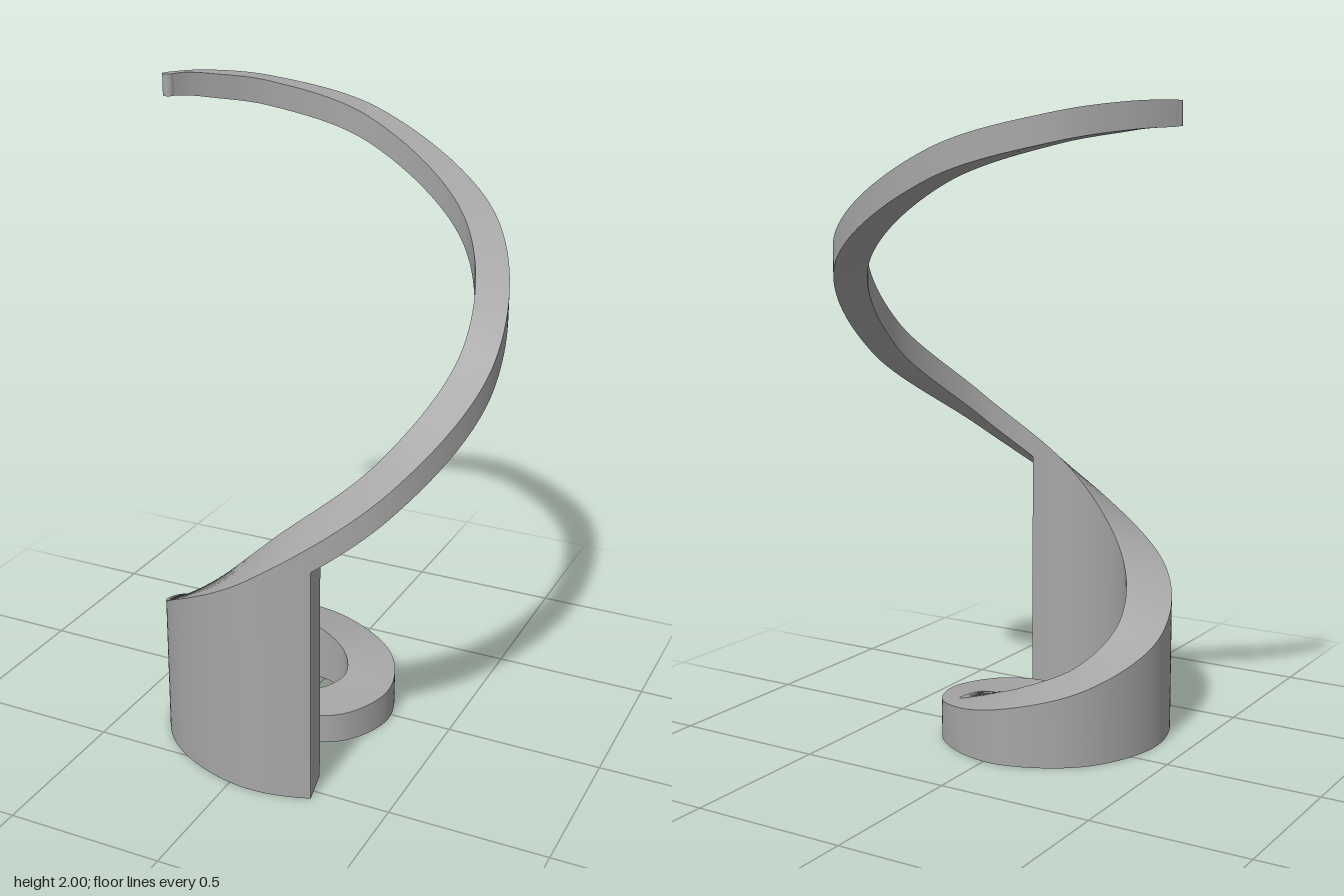
import * as THREE from 'three';

// Stations along the spiral: outer x, z, y and inner x, z, y of the top surface
const stations = [
  [-0.015, 0.025, 0.09, 0.03, 0.03, 0.09],
  [-0.068, 0.06, 0.09, 0.045, 0.055, 0.09],
  [-0.087, 0.11, 0.09, 0.05, 0.085, 0.09],
  [-0.05, 0.2, 0.09, 0.055, 0.094, 0.09],
  [0.08, 0.262, 0.095, 0.07, 0.097, 0.095],
  [0.22, 0.207, 0.1, 0.105, 0.08, 0.105],
  [0.297, 0.03, 0.11, 0.135, 0.01, 0.12],
  [0.213, -0.175, 0.13, 0.09, -0.075, 0.15],
  [-0.02, -0.272, 0.17, -0.04, -0.115, 0.2],
  [-0.285, -0.155, 0.24, -0.195, -0.03, 0.27],
  [-0.4, 0.13, 0.35, -0.255, 0.135, 0.38],
  [-0.275, 0.435, 0.5, -0.16, 0.34, 0.54],
  [0.07, 0.577, 0.71, 0.09, 0.446, 0.79],
  [0.45, 0.42, 1.0, 0.38, 0.33, 1.05],
  [0.607, 0.02, 1.29, 0.505, 0.01, 1.32],
  [0.45, -0.39, 1.61, 0.37, -0.325, 1.61],
  [-0.03, -0.58, 1.87, -0.04, -0.5, 1.86],
  [-0.37, -0.483, 1.965, -0.345, -0.415, 1.96],
  [-0.53, -0.335, 1.995, -0.49, -0.3, 1.99],
  [-0.6, -0.225, 2.0, -0.55, -0.235, 2.0],
  [-0.612, -0.195, 2.0, -0.575, -0.195, 2.0],
];
const last = stations.length - 1;
const wallEnd = 12.47;
const outer = new THREE.CatmullRomCurve3(stations.map(s => new THREE.Vector3(s[0], s[2], s[1])));
const inner = new THREE.CatmullRomCurve3(stations.map(s => new THREE.Vector3(s[3], s[5], s[4])));

// Four corners of the section at station t: outer top, inner top, inner bottom, outer bottom
function section(t, bottom) {
  const o = outer.getPoint(t / last), i = inner.getPoint(t / last);
  const low = p => new THREE.Vector3(p.x, bottom(p.y, t), p.z);
  return [o, i, low(i), low(o)];
}

// Sweep between two stations; each side has its own vertices so the edges stay sharp
function sweep(t0, t1, steps, bottom) {
  const pos = [], idx = [], rings = [];
  for (let k = 0; k <= steps; k++) rings.push(section(t0 + (t1 - t0) * k / steps, bottom));
  for (let side = 0; side < 4; side++) {
    const base = pos.length / 3;
    rings.forEach((r, k) => {
      pos.push(...r[side].toArray(), ...r[(side + 1) % 4].toArray());
      if (k === steps) return;
      const a = base + 2 * k;
      idx.push(a, a + 2, a + 1, a + 1, a + 2, a + 3);
    });
  }
  // End caps
  for (const ring of [rings[0], [...rings[steps]].reverse()]) {
    const b = pos.length / 3;
    ring.forEach(p => pos.push(...p.toArray()));
    idx.push(b, b + 1, b + 2, b, b + 2, b + 3);
  }
  const g = new THREE.BufferGeometry();
  g.setAttribute('position', new THREE.Float32BufferAttribute(pos, 3));
  g.setIndex(idx);
  g.computeVertexNormals();
  return g;
}

export function createModel() {
  const group = new THREE.Group();
  group.name = 'spiralRamp';
  const grey = new THREE.MeshStandardMaterial({ color: 0xa6a6a6 });
  grey.name = 'grey';
  const add = (name, geometry) => {
    const mesh = new THREE.Mesh(geometry, grey);
    mesh.name = name;
    group.add(mesh);
  };

  // Solid curled wall standing on the ground
  add('baseWall', sweep(0, wallEnd, 260, () => 0));

  // Free ribbon rising from the wall, thinning toward its tip
  const thickness = t => t < 14 ? 0.08 + 0.01 * (t - wallEnd) / (14 - wallEnd)
    : 0.09 - 0.02 * (t - 14) / (last - 14);
  add('risingRibbon', sweep(wallEnd, last, 200, (y, t) => y - thickness(t)));

  // Rounded tip
  const tip = new THREE.CylinderGeometry(0.0185, 0.0185, 0.07, 20);
  tip.translate(-0.5935, 1.965, -0.195);
  add('ribbonTip', tip);
  return group;
}
